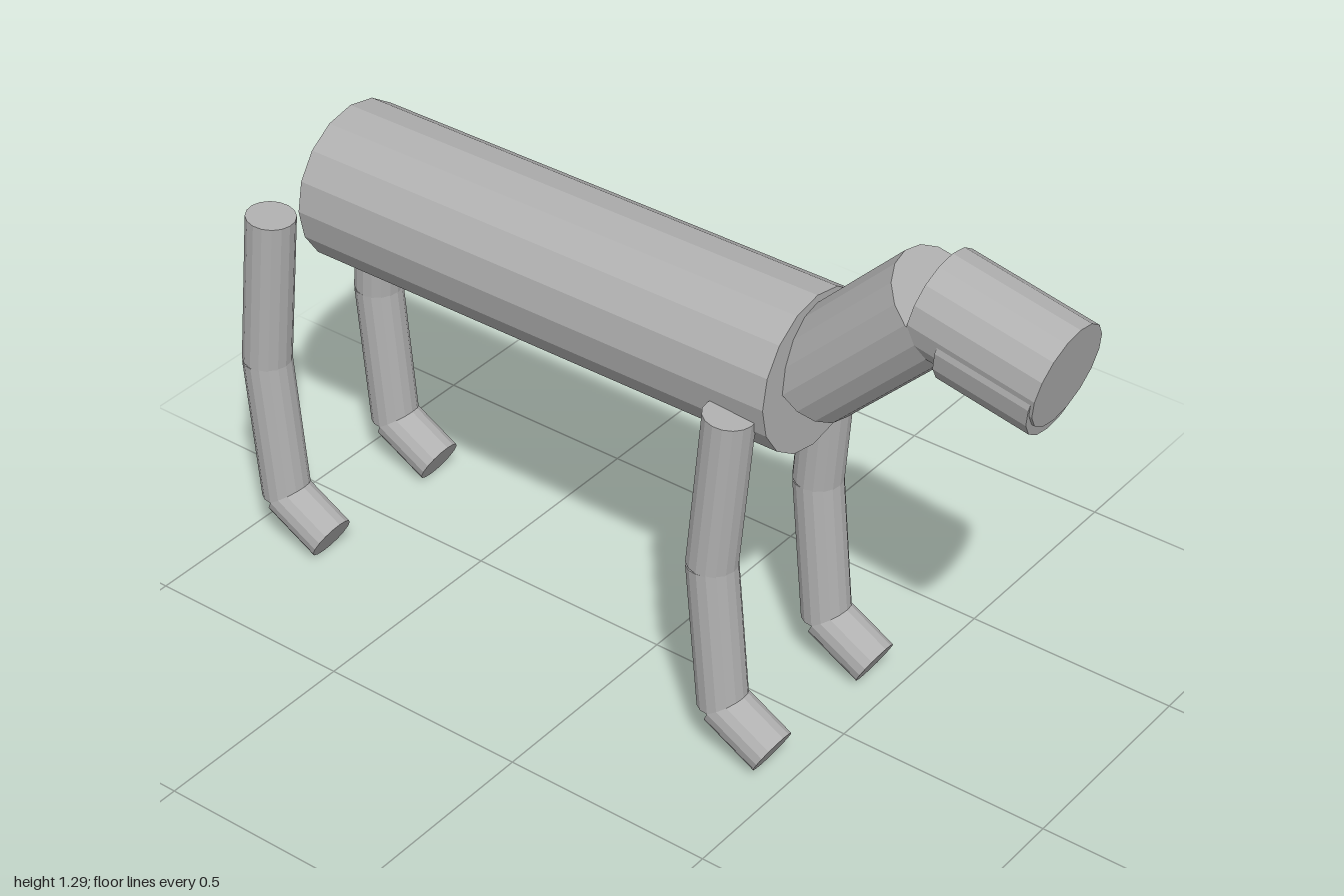
import * as THREE from 'three';

export function createModel() {
  const model = new THREE.Group();
  model.name = 'quadruped';
  const grey = new THREE.MeshStandardMaterial({ color: 0xb0b0b0, flatShading: true });
  grey.name = 'plain grey';
  const up = new THREE.Vector3(0, 1, 0);

  // Sixteen-sided capped cylinder running between two points
  function limb(name, from, to, radius, parent) {
    const a = new THREE.Vector3(...from);
    const b = new THREE.Vector3(...to);
    const axis = b.clone().sub(a);
    const mesh = new THREE.Mesh(new THREE.CylinderGeometry(radius, radius, axis.length(), 16), grey);
    mesh.name = name;
    mesh.position.copy(a).add(b).multiplyScalar(0.5);
    mesh.quaternion.setFromUnitVectors(up, axis.normalize());
    parent.add(mesh);
    return mesh;
  }

  // Trunk, neck and head
  limb('body', [0, 0.895, -0.825], [0, 0.895, 0.4], 0.18, model);
  limb('neck', [0, 0.897, 0.4], [0, 1.177, 0.681], 0.114, model);
  limb('head', [0, 1.18, 0.686], [0, 1.122, 0.977], 0.114, model);
  limb('jaw', [0, 1.14, 0.751], [0, 1.098, 0.965], 0.114, model);

  // Legs: the rear pair repeats the front pair one body length back
  const r = 0.056;
  for (const [end, dz] of [['front', 0], ['rear', -1.227]]) {
    for (const [side, s] of [['Left', 1], ['Right', -1]]) {
      const leg = new THREE.Group();
      leg.name = end + side + 'Leg';
      leg.position.z = dz;
      const hip = [s * 0.181, 0.855, 0.32];
      const knee = [s * 0.1875, 0.477, 0.286];
      const ankle = [s * 0.1875, 0.125, 0.318];
      const toe = [s * 0.1875, 0.053, 0.447];
      limb('upperLeg', hip, knee, r, leg);
      limb('lowerLeg', knee, ankle, r, leg);
      limb('foot', ankle, toe, r, leg);
      model.add(leg);
    }
  }
  return model;
}
